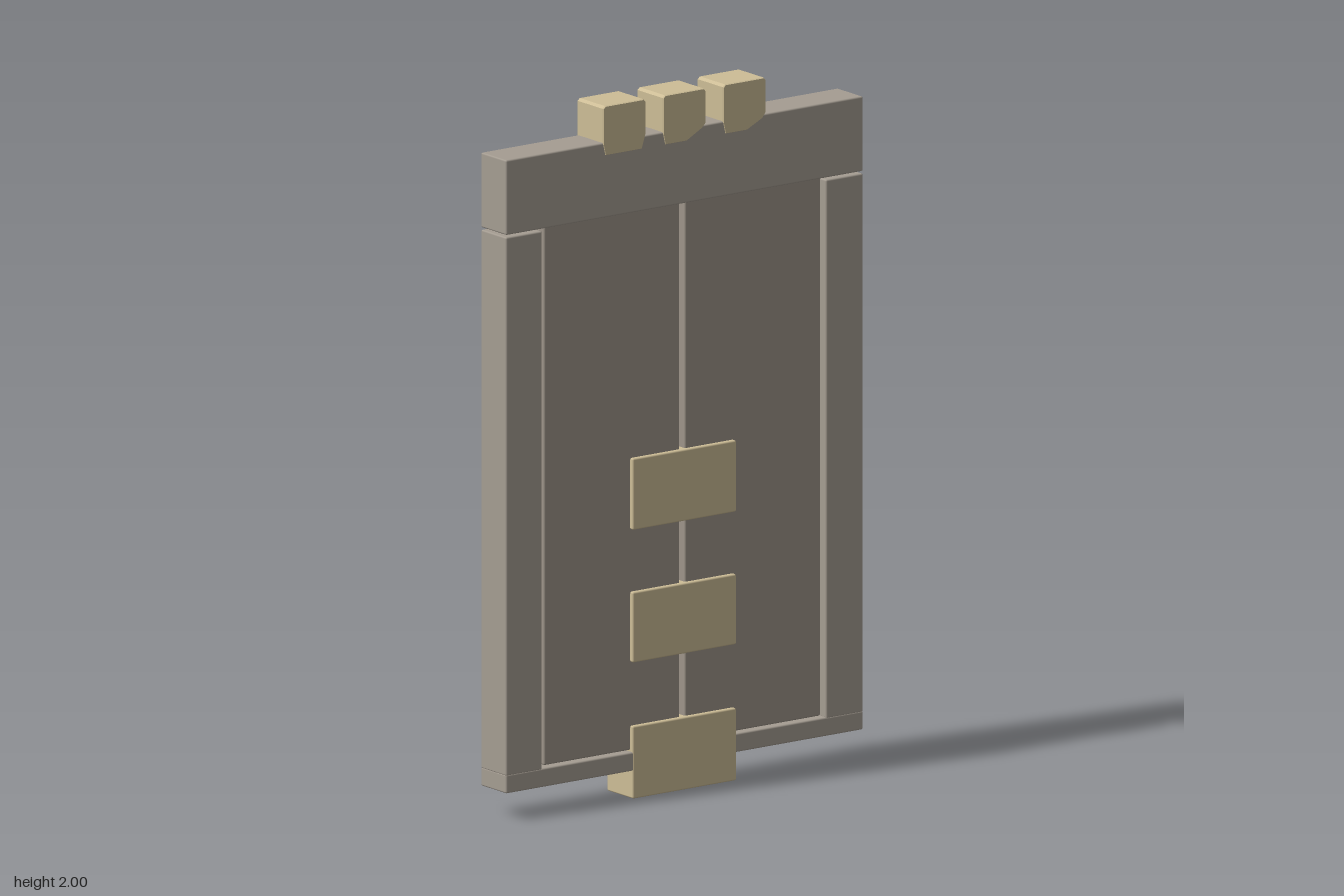
import * as THREE from 'three';
import { RoundedBoxGeometry } from 'three/addons/geometries/RoundedBoxGeometry.js';

const stone = new THREE.MeshStandardMaterial({ color: 0xa59d92 });
const slab = new THREE.MeshStandardMaterial({ color: 0x9d9489 });
const sand = new THREE.MeshStandardMaterial({ color: 0xcdbd96 });

// Softly bevelled block given by its x and y limits and its half depth
function block(name, x0, x1, y0, y1, halfDepth, material) {
  const geometry = new RoundedBoxGeometry(x1 - x0, y1 - y0, halfDepth * 2, 1, 0.005);
  const mesh = new THREE.Mesh(geometry, material);
  mesh.position.set((x0 + x1) / 2, (y0 + y1) / 2, 0);
  mesh.name = name;
  return mesh;
}

// Crown block whose lower right corner is cut away
function crownBlock(name, x, cutX, cutY) {
  const shape = new THREE.Shape([
    [-0.072, 1.89], [-0.065, 1.86], [cutX, 1.86], [0.06, cutY],
    [0.072, 1.9], [0.072, 1.992], [0.066, 1.998], [-0.066, 1.998], [-0.072, 1.992],
  ].map(([px, py]) => new THREE.Vector2(px, py)));
  const geometry = new THREE.ExtrudeGeometry(shape, {
    depth: 0.114, bevelEnabled: true, bevelSegments: 1, bevelSize: 0.002, bevelThickness: 0.004,
  });
  geometry.translate(x, 0, -0.057);
  const mesh = new THREE.Mesh(geometry, sand);
  mesh.name = name;
  return mesh;
}

export function createModel() {
  const group = new THREE.Group();
  group.name = 'stoneDoor';

  // Frame
  group.add(block('lintel', -0.62, 0.62, 1.68, 1.895, 0.059, stone));
  group.add(block('sill', -0.62, 0.62, 0.08, 0.134, 0.059, stone));
  group.add(block('rightPost', -0.62, -0.494, 0.13, 1.674, 0.059, stone));
  group.add(block('leftPost', 0.491, 0.62, 0.13, 1.674, 0.059, stone));

  // Recessed door leaves with a narrow gap between them
  group.add(block('rightDoorLeaf', -0.48, -0.009, 0.138, 1.685, 0.048, slab));
  group.add(block('leftDoorLeaf', 0.009, 0.48, 0.138, 1.685, 0.048, slab));

  // Blocks across the middle seam
  [[0, 0.208], [0.39, 0.592], [0.77, 0.975]].forEach(([y0, y1], i) => {
    group.add(block(`seamBlock${i + 1}`, -0.181, 0.179, y0, y1, 0.0605, sand));
  });

  // Crown blocks on the lintel
  group.add(crownBlock('rightCrownBlock', -0.21, 0.06, 1.862));
  group.add(crownBlock('middleCrownBlock', -0.002, 0.008, 1.888));
  group.add(crownBlock('leftCrownBlock', 0.207, 0.008, 1.885));
  return group;
}
